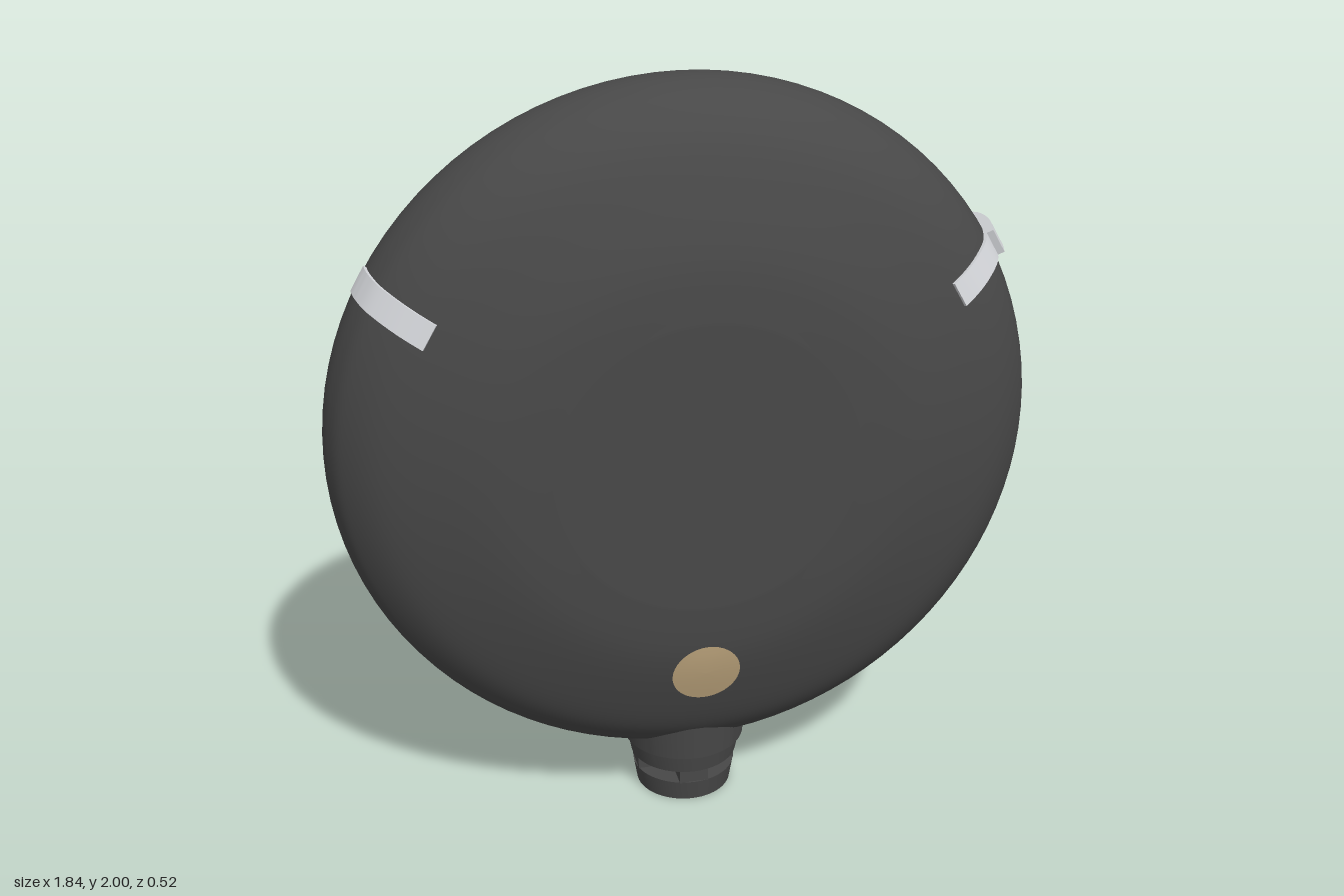
import * as THREE from 'three';
import { mergeGeometries, toCreasedNormals } from 'three/addons/utils/BufferGeometryUtils.js';

const V = (x, y) => new THREE.Vector2(x, y);
const rad = THREE.MathUtils.degToRad;
const CENTRE_Y = 1.08;      // middle of the round body
const IN = 0.55, OUT = 0.87; // inner and outer radius of the sloped back
const backZ = r => -0.26 + (r - IN) * 0.375;

// Rounded shell profile (radius, z), from back to front
const shell = new THREE.SplineCurve([
  V(OUT, -0.14), V(0.91, -0.095), V(0.92, -0.04), V(0.91, 0.02), V(0.88, 0.08),
  V(0.8, 0.15), V(0.67, 0.205), V(0.53, 0.245), V(0.38, 0.26),
]).getPoints(64);

// Height of the front face at a given radius
function frontZ(r) {
  for (let i = shell.length - 1; i > 0; i--) {
    const a = shell[i], b = shell[i - 1];
    if (r >= a.x && r <= b.x) return a.y + (b.y - a.y) * (r - a.x) / (b.x - a.x);
  }
  return 0.26;
}

// Lathe turned so that its axis is z
const latheZ = (points, segments = 96, from = 0, length = 360) =>
  new THREE.LatheGeometry(points, segments, rad(from), rad(length)).rotateX(Math.PI / 2);

// Patch of the sloped back with a round screw hole in it
function holePatch(angle, half, holeR, at) {
  const a = rad(angle - half), b = rad(angle + half);
  const shape = new THREE.Shape();
  shape.absarc(0, 0, OUT, a, b, false);
  shape.absarc(0, 0, IN, b, a, true);
  const hole = new THREE.Path();
  hole.absarc(at.x, at.y, holeR, 0, Math.PI * 2, true);
  shape.holes.push(hole);
  const g = new THREE.ShapeGeometry(shape, 20);
  const p = g.attributes.position, idx = g.index.array;
  for (let i = 0; i < p.count; i++) p.setZ(i, backZ(Math.hypot(p.getX(i), p.getY(i))));
  for (let i = 0; i < idx.length; i += 3) [idx[i], idx[i + 1]] = [idx[i + 1], idx[i]];
  return g;
}

// Stepped well behind a screw hole, its rim following the slope
function screwWell(holeR, at) {
  const g = latheZ([V(0, 0), V(0.04, 0), V(0.04, -0.09), V(holeR, -0.09), V(holeR, -0.2)], 40);
  g.translate(at.x, at.y, 0);
  const p = g.attributes.position;
  for (let i = 0; i < p.count; i++) {
    if (p.getZ(i) < -0.15) p.setZ(i, backZ(Math.hypot(p.getX(i), p.getY(i))));
  }
  return toCreasedNormals(g, 0.6);
}

// Band wrapped over the rim along part of the shell profile
function rimBand(angle, thickness, keep) {
  const inner = [], outer = [];
  shell.forEach((p, i) => {
    if (!keep(p)) return;
    const d = shell[Math.min(i + 1, 64)].clone().sub(shell[Math.max(i - 1, 0)]).normalize();
    const n = V(d.y, -d.x);
    inner.push(p.clone().addScaledVector(n, -0.01));
    outer.push(p.clone().addScaledVector(n, thickness));
  });
  const g = new THREE.ExtrudeGeometry(new THREE.Shape([...inner, ...outer.reverse()]),
    { depth: 0.07, bevelEnabled: false });
  g.translate(0, 0, -0.035);
  const c = Math.cos(rad(angle)), s = Math.sin(rad(angle));
  g.applyMatrix4(new THREE.Matrix4().makeBasis(
    new THREE.Vector3(c, s, 0), new THREE.Vector3(0, 0, 1), new THREE.Vector3(s, -c, 0)));
  return toCreasedNormals(g, 0.6);
}

export function createModel() {
  const charcoal = new THREE.MeshStandardMaterial({ color: 0x484848 });
  const silver = new THREE.MeshStandardMaterial({ color: 0xd6d8dc });
  const tan = new THREE.MeshStandardMaterial({ color: 0xc2a980 });

  const model = new THREE.Group();
  const body = new THREE.Group();
  body.name = 'body';
  body.position.y = CENTRE_Y;
  model.add(body);
  const add = (parent, name, geometry, material) => {
    const mesh = new THREE.Mesh(geometry, material);
    mesh.name = name;
    parent.add(mesh);
    return mesh;
  };

  // Domed front with rounded rim, and flat middle of the back
  add(body, 'frontShell', latheZ([...shell, V(0, 0.26)]), charcoal);
  add(body, 'backPlate', latheZ([V(0, -0.26), V(IN, -0.26)]), charcoal);

  // Sloped back with three screw holes
  const holeR = 0.075, half = 8, angles = [-40, 90, 220];
  const slope = [];
  angles.forEach((angle, i) => {
    const at = V(Math.cos(rad(angle)), Math.sin(rad(angle))).multiplyScalar(0.715);
    slope.push(holePatch(angle, half, holeR, at));
    const next = i < 2 ? angles[i + 1] : angles[0] + 360;
    slope.push(latheZ([V(IN, -0.26), V(OUT, -0.14)], 32, angle + half + 90, next - angle - 2 * half));
    add(body, 'screwWell', screwWell(holeR, at), charcoal);
  });
  const back = mergeGeometries(slope);
  const p = back.attributes.position;
  for (let i = 0; i < p.count; i++) { // normals ease from the flat back into the rim
    const x = p.getX(i), y = p.getY(i), r = Math.hypot(x, y);
    const tilt = rad(49) * (r - IN) / (OUT - IN);
    back.attributes.normal.setXYZ(i, x / r * Math.sin(tilt), y / r * Math.sin(tilt), -Math.cos(tilt));
  }
  add(body, 'slopedBack', back, charcoal);

  // Round tan pad lying on the lower front
  const pad = new THREE.RingGeometry(0, 0.09, 40, 4).translate(0, -0.59, 0);
  const q = pad.attributes.position;
  for (let i = 0; i < q.count; i++) q.setZ(i, frontZ(Math.hypot(q.getX(i), q.getY(i))) + 0.004);
  pad.computeVertexNormals();
  add(body, 'frontPad', pad, tan);

  // Silver strips on both sides, with a raised clip over the left rim
  const onFront = v => v.x >= 0.755 && v.y >= -0.04;
  add(body, 'leftStrip', rimBand(30, 0.008, onFront), silver);
  add(body, 'rightStrip', rimBand(150, 0.008, onFront), silver);
  add(body, 'leftRimClip', rimBand(30, 0.026, v => v.y >= -0.13 && v.y <= 0.04), silver);

  // Hollow neck: tapered collar, four posts and a bottom ring
  const neck = new THREE.Group();
  neck.name = 'neck';
  neck.position.z = -0.04;
  model.add(neck);
  const turned = pts => toCreasedNormals(new THREE.LatheGeometry(pts, 64), 0.6);
  add(neck, 'collar', turned([
    V(0, 0.14), V(0.085, 0.14), V(0.085, 0.1), V(0.147, 0.1), V(0.156, 0.15),
    V(0.166, 0.155), V(0.19, 0.46), V(0, 0.46),
  ]), charcoal);
  add(neck, 'bottomRing', turned([
    V(0.085, 0.06), V(0.085, 0), V(0.13, 0), V(0.14, 0.06), V(0.085, 0.06),
  ]), charcoal);
  for (let i = 0; i < 4; i++) {
    const post = new THREE.BoxGeometry(0.08, 0.044, 0.056).translate(0, 0.08, 0.108);
    add(neck, 'neckPost', post.rotateY(i * Math.PI / 2), charcoal);
  }
  return model;
}
